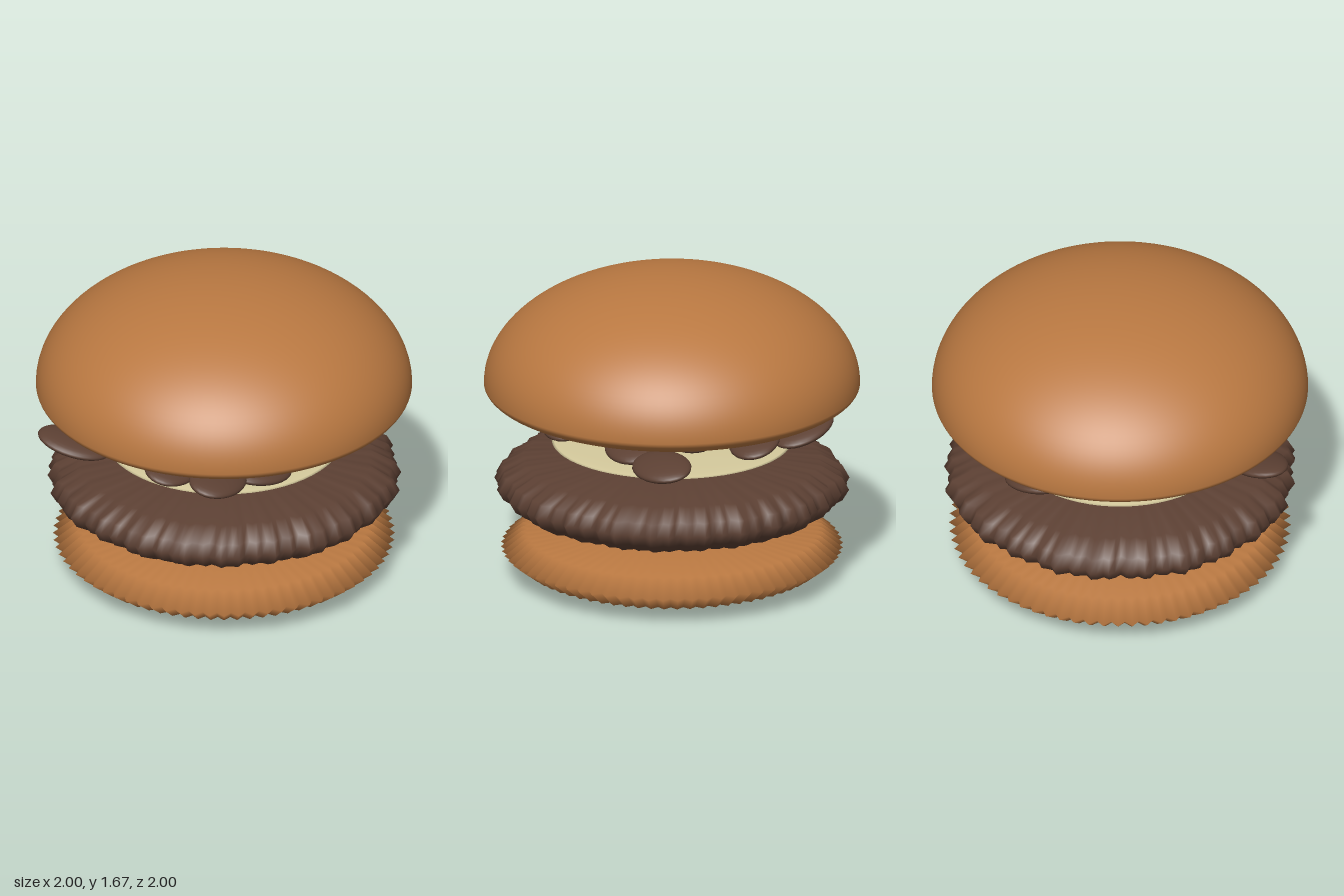
import * as THREE from 'three';

const material = (name, color, side = THREE.FrontSide) => {
  const m = new THREE.MeshStandardMaterial({ color, side });
  m.name = name;
  return m;
};

// Closed round body from a bottom-to-top profile; ridge(i, k) scales the radius of each point.
function ridgedDisc(profile, sides, ridge) {
  const pos = [], index = [];
  const rings = profile.slice(1, -1);
  pos.push(0, profile[0][1], 0);
  rings.forEach(([r, y], k) => {
    for (let i = 0; i < sides; i++) {
      const a = (i / sides) * Math.PI * 2, s = r * ridge(i, k);
      pos.push(Math.sin(a) * s, y, Math.cos(a) * s);
    }
  });
  const last = pos.length / 3;
  pos.push(0, profile[profile.length - 1][1], 0);
  const at = (k, i) => 1 + k * sides + (i % sides);
  for (let i = 0; i < sides; i++) {
    index.push(0, at(0, i + 1), at(0, i));
    for (let k = 0; k < rings.length - 1; k++) {
      index.push(at(k, i), at(k, i + 1), at(k + 1, i + 1));
      index.push(at(k, i), at(k + 1, i + 1), at(k + 1, i));
    }
    index.push(last, at(rings.length - 1, i), at(rings.length - 1, i + 1));
  }
  const g = new THREE.BufferGeometry();
  g.setAttribute('position', new THREE.Float32BufferAttribute(pos, 3));
  g.setIndex(index);
  g.computeVertexNormals();
  return g;
}

export function createModel() {
  const model = new THREE.Group();
  model.name = 'burger';
  const bread = material('bread', 0xb97841);
  const meat = material('meat', 0x5c4033);
  const cream = material('cream', 0xd4c99c);

  const add = (name, geometry, mat) => {
    const mesh = new THREE.Mesh(geometry, mat);
    mesh.name = name;
    model.add(mesh);
    return mesh;
  };

  // Top bun: tall upper half, shallow lower half
  const dome = new THREE.SphereGeometry(1, 96, 64);
  const p = dome.attributes.position, n = dome.attributes.normal;
  const v = new THREE.Vector3();
  for (let i = 0; i < p.count; i++) {
    const y = p.getY(i), h = y >= 0 ? 0.6 : 0.175;
    v.set(p.getX(i), y / h, p.getZ(i)).normalize();
    n.setXYZ(i, v.x, v.y, v.z);
    p.setY(i, 1.07 + y * h);
  }
  add('topBun', dome, bread);

  // Bottom bun: pleated rim
  add('bottomBun', ridgedDisc(
    [[0, 0], [0.45, 0.038], [0.8, 0.07], [0.91, 0.155], [0.8, 0.24], [0.45, 0.272], [0, 0.305]],
    144, (i) => (i % 2 ? 0.955 : 1)), bread);

  // Patty: irregular ruffled rim
  const ruffle = (i) => 0.975 + 0.018 * Math.sin(i * 2.05) + 0.012 * Math.sin(i * 0.83 + 1) + 0.008 * Math.sin(i * 0.31);
  const wave = (i) => ruffle(Math.min(i, 180 - i) + (i > 90 ? 0.4 : 0));
  add('patty', ridgedDisc(
    [[0, 0.335], [0.45, 0.358], [0.8, 0.39], [0.91, 0.455], [0.945, 0.515],
      [0.91, 0.58], [0.8, 0.64], [0.45, 0.675], [0, 0.7]],
    180, wave), meat);

  // Cheese slice: thin lens
  const slice = add('cheeseSlice', new THREE.SphereGeometry(1, 64, 16), cream);
  slice.scale.set(0.64, 0.023, 0.64);
  slice.position.y = 0.748;

  // Oval pieces under the top bun: x, y, z, turn
  const pieces = [
    [0.52, 0.87, -0.6, 1.5], [0.45, 0.87, -0.24, 1.2], [0.52, 0.89, 0.23, 0.9],
    [0.17, 0.915, -0.4, 1.4], [-0.12, 0.875, -0.57, 0.9], [-0.38, 0.91, -0.66, 0.3],
    [-0.69, 0.875, 0.5, 0.1], [-0.5, 0.9, -0.47, 0.5], [0.17, 0.915, 0.76, 1.3],
    [0.32, 0.86, 0.5, 0.8], [-0.12, 0.875, 0.62, 1.4], [-0.25, 0.86, 0, 0.2],
  ];
  const oval = new THREE.SphereGeometry(1, 28, 16).scale(0.2, 0.042, 0.14);
  const group = new THREE.Group();
  group.name = 'ovalPieces';
  pieces.forEach(([x, y, z, turn]) => {
    const piece = new THREE.Mesh(oval, meat);
    piece.name = 'ovalPiece';
    piece.position.set(x, y, z);
    piece.rotation.set(0, turn, -0.25, 'ZYX');
    group.add(piece);
  });
  model.add(group);
  return model;
}
